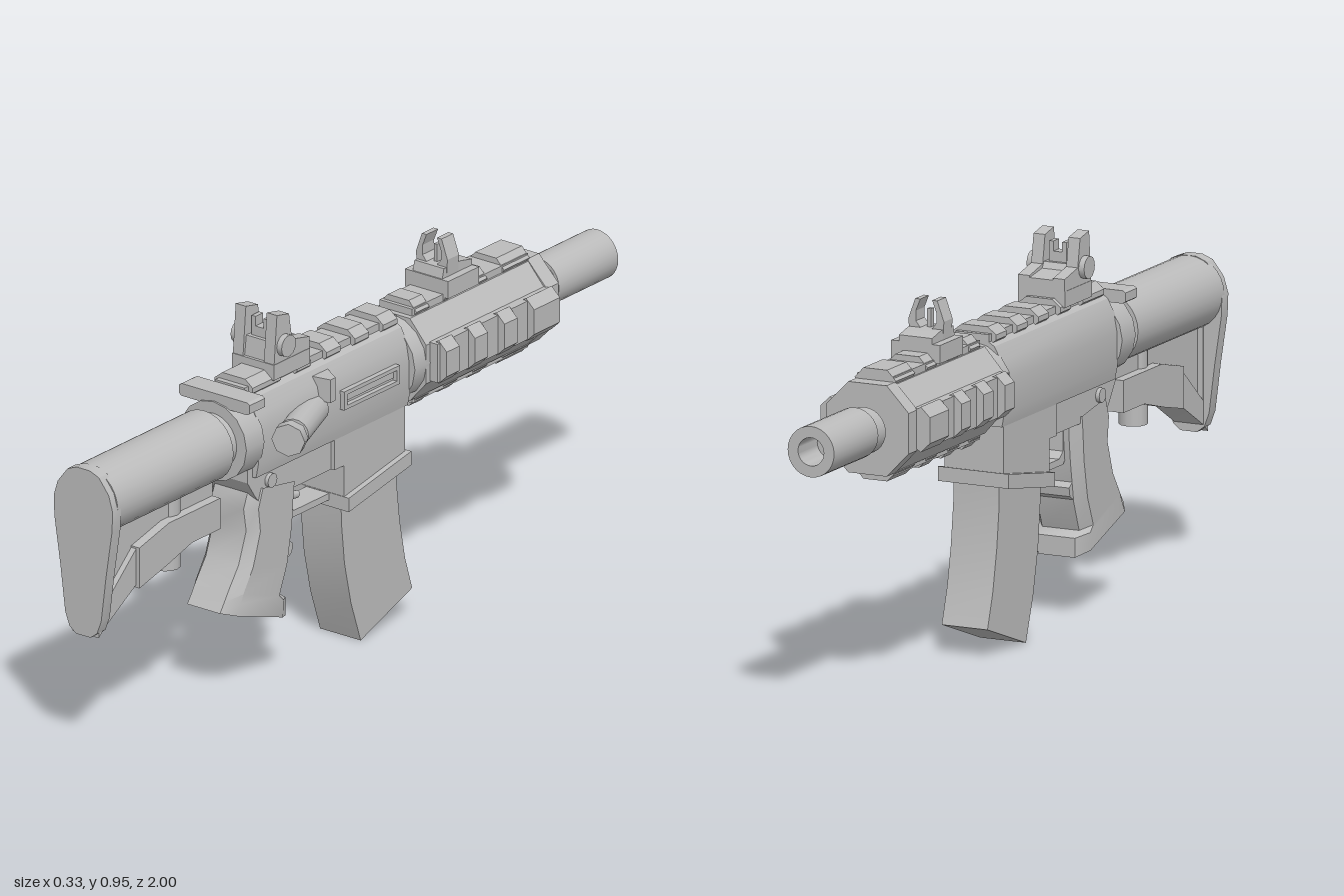
import * as THREE from 'three';
import { toCreasedNormals } from 'three/addons/utils/BufferGeometryUtils.js';

export function createModel() {
  const gray = new THREE.MeshStandardMaterial({ color: 0xbcbcbc });
  gray.name = 'light gunmetal gray';
  const root = new THREE.Group();
  const body = new THREE.Group();
  body.name = 'carbine';
  body.position.x = -0.02;
  root.add(body);
  const AXIS = 0.663; // height of the bore line

  const add = (name, geo, x = 0, y = 0, z = 0) => {
    const m = new THREE.Mesh(geo, gray);
    m.name = name;
    m.position.set(x, y, z);
    body.add(m);
    return m;
  };
  const box = (name, x0, x1, y0, y1, z0, z1) =>
    add(name, new THREE.BoxGeometry(x1 - x0, y1 - y0, z1 - z0), (x0 + x1) / 2, (y0 + y1) / 2, (z0 + z1) / 2);
  const shapeOf = pts => new THREE.Shape(pts.map(p => new THREE.Vector2(p[0], p[1])));
  const extrude = (shape, depth) => new THREE.ExtrudeGeometry(shape, { depth, bevelEnabled: false });
  // side outline of [z, y] points, extruded from x0 to x1
  const side = (name, pts, x0, x1) =>
    add(name, toCreasedNormals(extrude(shapeOf(pts.map(([z, y]) => [-z, y])), x1 - x0).rotateY(Math.PI / 2), 0.3), x0);
  // cross-section of [x, y] points, extruded from z0 to z1
  const section = (name, pts, z0, z1, crease = 0.1) =>
    add(name, toCreasedNormals(extrude(shapeOf(pts), z1 - z0), crease), 0, 0, z0);
  // right half of a section from top to bottom, mirrored to the left
  const mirrored = half => [...half, ...half.map(([x, y]) => [-x, y]).reverse()];
  const cylZ = (name, r, z0, z1, seg = 28) =>
    add(name, new THREE.CylinderGeometry(r, r, z1 - z0, seg).rotateX(Math.PI / 2), 0, AXIS, (z0 + z1) / 2);
  const eightSided = (x, y, cx, cy) => mirrored([[cx, AXIS + y], [x, AXIS + cy], [x, AXIS - cy], [cx, AXIS - y]]);

  // Barrel and hollow muzzle
  cylZ('barrel', 0.045, -0.78, -0.65);
  cylZ('barrelCollar', 0.057, -0.775, -0.72);
  const muzzle = [[0, 0.77], [0.063, 0.77], [0.063, 1], [0.035, 1], [0.035, 0.9], [0, 0.9]];
  add('muzzle', toCreasedNormals(new THREE.LatheGeometry(muzzle.map(p => new THREE.Vector2(...p)), 28)
    .rotateX(-Math.PI / 2), 0.6), 0, AXIS + 0.003);

  // Handguard with four ribbed rails
  section('handguard', eightSided(0.105, 0.107, 0.055, 0.05), -0.67, -0.2);
  section('handguardCap', eightSided(0.112, 0.112, 0.052, 0.05), -0.706, -0.66);
  cylZ('barrelNut', 0.106, -0.215, -0.155, 16);
  const teeth = [[-0.615, 0.1], [-0.475, 0.05], [-0.36, 0.05], [-0.25, 0.05]];
  for (let k = 0; k < 4; k++) {
    const rail = new THREE.Group();
    rail.name = 'handguardRail' + k;
    rail.position.y = AXIS + 0.003;
    rail.rotation.z = k * Math.PI / 2;
    body.add(rail);
    const vertical = k % 2 === 0;
    const h = vertical ? 0.122 : 0.128, t = vertical ? 0.137 : 0.148;
    const base = new THREE.Mesh(new THREE.BoxGeometry(0.1, 0.05, 0.45), gray);
    base.name = 'railBase';
    base.position.set(0, h - 0.025, -0.44);
    rail.add(base);
    const tooth = shapeOf(mirrored([[0.032, t], [0.056, t - 0.025], [0.04, t - 0.05]]));
    for (const [z, w] of teeth) {
      const m = new THREE.Mesh(extrude(tooth, w), gray);
      m.name = 'railTooth';
      m.position.z = z - w / 2;
      rail.add(m);
    }
  }

  // Upper receiver and its top rail
  section('upperReceiver', mirrored([[0.035, 0.778], [0.06, 0.762], [0.08, 0.725], [0.088, 0.68], [0.087, 0.6], [0.08, 0.565]]), -0.16, 0.43, 0.5);
  box('topRail', -0.045, 0.045, 0.76, 0.79, -0.16, 0.43);
  for (const [z, w] of [[-0.12, 0.055], [-0.01, 0.055], [0.1, 0.055], [0.215, 0.055], [0.36, 0.11]]) {
    section('topRailTooth', mirrored([[0.035, 0.806], [0.058, 0.788], [0.058, 0.775], [0.04, 0.76]]), z - w / 2, z + w / 2);
  }
  cylZ('rearRing', 0.102, 0.425, 0.495, 16);
  section('chargingHandle', mirrored([[0.1, 0.785], [0.108, 0.78], [0.108, 0.758], [0.1, 0.753]]), 0.43, 0.49);

  // Ejection port frame with the recessed bolt
  box('bolt', 0.08, 0.091, 0.66, 0.68, -0.09, 0.1);
  for (const y of [0.643, 0.681]) box('portEdge', 0.07, 0.1, y, y + 0.01, -0.095, 0.11);
  for (const z of [-0.105, 0.1]) box('portEnd', 0.07, 0.1, 0.643, 0.691, z, z + 0.012);
  const deflector = extrude(shapeOf([[0.06, -0.195], [0.115, -0.185], [0.115, -0.165], [0.06, -0.13]]), 0.06);
  add('caseDeflector', deflector.rotateX(-Math.PI / 2), 0, 0.69, 0);

  // Angled forward assist
  const assist = new THREE.Group();
  assist.name = 'forwardAssist';
  assist.position.set(0.068, 0.667, 0.19);
  assist.rotation.y = Math.atan2(0.075, 0.19);
  body.add(assist);
  for (const [r, z0, z1, seg] of [[0.038, 0, 0.17, 16], [0.026, 0.16, 0.195, 16], [0.042, 0.185, 0.215, 8]]) {
    const m = new THREE.Mesh(new THREE.CylinderGeometry(r, r, z1 - z0, seg).rotateX(Math.PI / 2), gray);
    m.name = 'assistSegment';
    m.position.z = (z0 + z1) / 2;
    assist.add(m);
  }

  // Lower receiver, magazine well and pins
  side('lowerReceiver', [[0.45, 0.6], [0.45, 0.555], [0.42, 0.51], [0.4, 0.487], [0.09, 0.487], [0.09, 0.6]], -0.07, 0.07);
  side('magazineWell', [[0.125, 0.58], [0.125, 0.487], [0.087, 0.487], [0.087, 0.39], [-0.15, 0.43], [-0.15, 0.58]], -0.08, 0.08);
  side('wellCollar', [[0.088, 0.406], [0.088, 0.37], [-0.155, 0.414], [-0.155, 0.45]], -0.095, 0.095);
  add('receiverPin', new THREE.CylinderGeometry(0.018, 0.018, 0.16, 14).rotateZ(Math.PI / 2), 0, 0.538, 0.365);

  // Curved magazine
  side('magazine', [[0.077, 0.42], [0.075, 0.33], [0.063, 0.22], [0.038, 0.11], [0, 0],
    [-0.2, 0.072], [-0.172, 0.16], [-0.152, 0.26], [-0.14, 0.36], [-0.138, 0.44]], -0.062, 0.062);

  // Trigger and guard
  side('triggerGuard', [[0.26, 0.5], [0.26, 0.4], [0.245, 0.387], [0.08, 0.387], [0.08, 0.404], [0.225, 0.404], [0.245, 0.42], [0.245, 0.5]], -0.035, 0.035);
  const triggerPath = new THREE.CatmullRomCurve3([[0.5, 0.205], [0.45, 0.212], [0.425, 0.195], [0.42, 0.17]]
    .map(([y, z]) => new THREE.Vector3(0, y, z)));
  add('trigger', new THREE.TubeGeometry(triggerPath, 12, 0.01, 8));

  // Pistol grip: chamfered rings from top to bottom, each [back z, back y, front z, front y]
  const rings = [[0.42, 0.53, 0.245, 0.5], [0.44, 0.48, 0.247, 0.46], [0.43, 0.42, 0.255, 0.39], [0.46, 0.34, 0.272, 0.29],
    [0.5, 0.285, 0.3, 0.215], [0.515, 0.262, 0.278, 0.2], [0.532, 0.238, 0.278, 0.152]];
  const half = [[0, 0.05], [0.15, 0.073], [0.85, 0.073], [1, 0.05]];
  const loop = [...half.map(([t, x]) => [t, -x]), ...half.slice().reverse()];
  const pos = [], idx = [];
  rings.forEach(([bz, by, fz, fy], r) => loop.forEach(([t, x], i) => {
    pos.push(x, by + (fy - by) * t, bz + (fz - bz) * t);
    const a = r * 8 + i, b = r * 8 + (i + 1) % 8;
    if (r < rings.length - 1) idx.push(a, b, b + 8, a, b + 8, a + 8);
    else if (i > 0 && i < 7) idx.push(r * 8, a, b);
  }));
  const grip = new THREE.BufferGeometry();
  grip.setAttribute('position', new THREE.Float32BufferAttribute(pos, 3));
  grip.setIndex(idx);
  add('pistolGrip', toCreasedNormals(grip, 0.6));
  side('fingerRidge', [[0.3, 0.36], [0.268, 0.345], [0.248, 0.33], [0.252, 0.308], [0.29, 0.285]], -0.05, 0.05);

  // Stock: tube, butt plate, brace, lever and adjusting stud
  cylZ('bufferTube', 0.072, 0.48, 0.56);
  cylZ('stockTube', 0.09, 0.53, 0.98);
  section('buttPlate', mirrored([[0.02, 0.753], [0.048, 0.742], [0.078, 0.703], [0.09, 0.663], [0.088, 0.61],
    [0.07, 0.49], [0.055, 0.37], [0.042, 0.335], [0.022, 0.32]]), 0.967, 1, 0.5);
  side('stockBrace', [[0.99, 0.32], [0.97, 0.338], [0.84, 0.415], [0.84, 0.51], [0.965, 0.4], [0.965, 0.6], [0.99, 0.6]], -0.04, 0.04);
  side('stockWeb', [[0.97, 0.6], [0.97, 0.38], [0.84, 0.45], [0.7, 0.5], [0.53, 0.5], [0.53, 0.6]], -0.025, 0.025);
  side('stockLever', [[0.845, 0.51], [0.73, 0.538], [0.53, 0.538], [0.53, 0.458], [0.64, 0.458], [0.74, 0.43], [0.845, 0.405]], -0.05, 0.05);
  add('adjustingStud', new THREE.CylinderGeometry(0.035, 0.035, 0.19, 12), 0, 0.492, 0.678);

  // Rear sight: block, ears, notch posts and knobs
  box('rearSightBase', -0.064, 0.064, 0.785, 0.825, 0.2, 0.34);
  side('rearSightBlock', [[0.335, 0.8], [0.325, 0.875], [0.275, 0.875], [0.265, 0.86], [0.2, 0.85], [0.2, 0.8]], -0.06, 0.06);
  for (const s of [-1, 1]) {
    const [a, b] = [s * 0.032, s * 0.063].sort((p, q) => p - q);
    side('rearSightEar', [[0.34, 0.8], [0.327, 0.95], [0.28, 0.94], [0.268, 0.87], [0.2, 0.855], [0.2, 0.8]], a, b);
    box('rearSightPost', s * 0.018 - 0.006, s * 0.018 + 0.006, 0.87, 0.925, 0.285, 0.315);
    add('rearSightKnob', new THREE.CylinderGeometry(0.028, 0.028, 0.02, 14).rotateZ(Math.PI / 2), s * 0.068, 0.866, 0.3);
  }
  box('rearSightBar', -0.02, 0.02, 0.87, 0.9, 0.285, 0.315);

  // Front sight: base, curved ears and centre post
  box('frontSightBase', -0.066, 0.066, 0.78, 0.825, -0.455, -0.335);
  side('frontSightBlock', [[-0.335, 0.81], [-0.345, 0.85], [-0.41, 0.85], [-0.455, 0.84], [-0.455, 0.81]], -0.045, 0.045);
  const ear = [[0.045, 0.82], [0.048, 0.87], [0.03, 0.92], [0.016, 0.92], [0.028, 0.89], [0.028, 0.865], [0.012, 0.845], [0.012, 0.82]];
  for (const s of [-1, 1]) section('frontSightEar', ear.map(([x, y]) => [s * x, y]), -0.4, -0.355);
  box('frontSightPost', -0.005, 0.005, 0.84, 0.895, -0.385, -0.37);

  return root;
}
